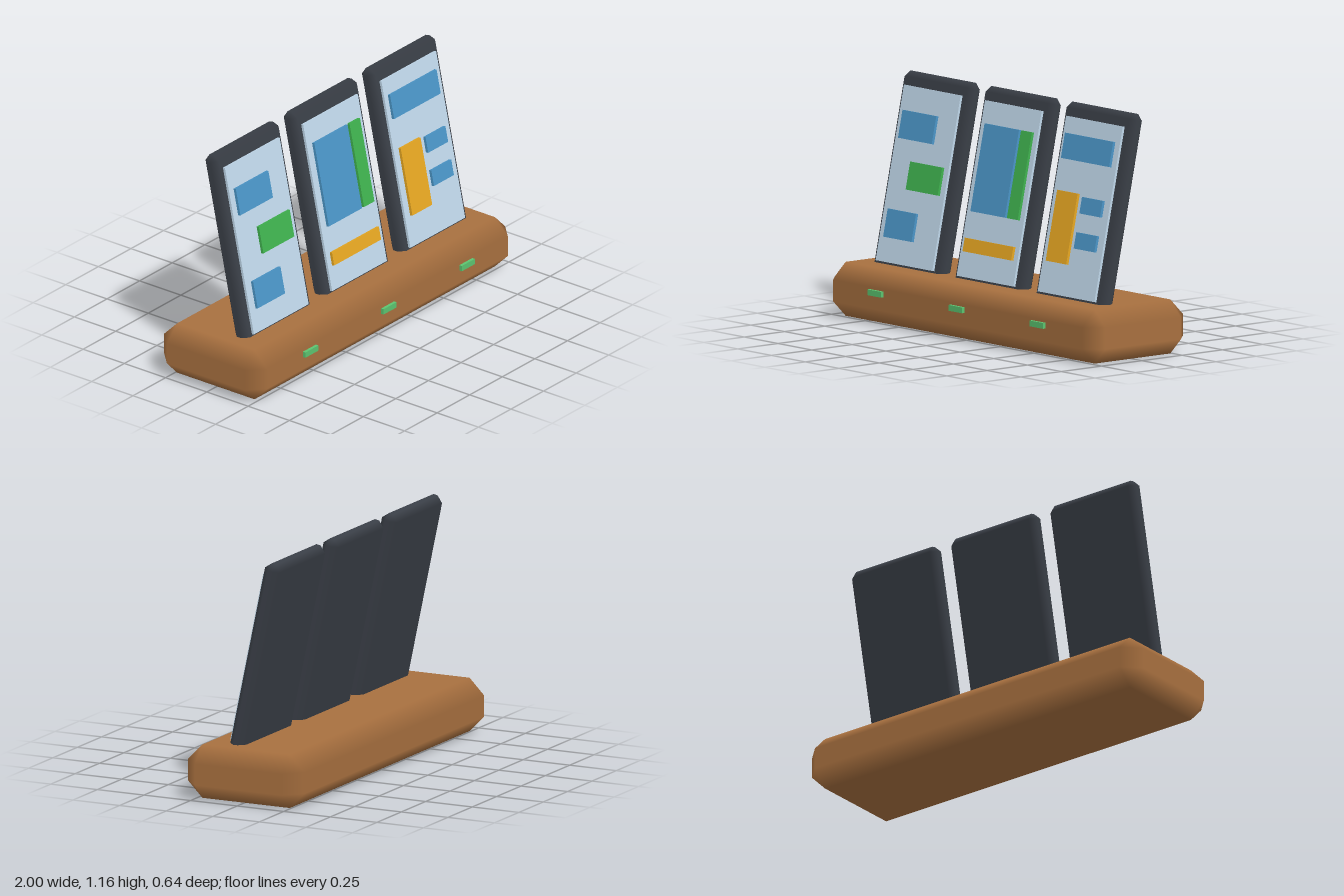
import * as THREE from 'three';
import { ConvexGeometry } from 'three/addons/geometries/ConvexGeometry.js';

const mat = (color) => new THREE.MeshStandardMaterial({ color });
const WOOD = mat(0xa8703f), FRAME = mat(0x3a3f47), SCREEN = mat(0xc0d8eb);
const BLUE = mat(0x4b96c8), GREEN = mat(0x3fb34f), ORANGE = mat(0xe8a822), LAMP = mat(0x5cc470);

// Box with 45 degree bevels whose shading blends between the flat faces
function beveledBox(w, h, d, r) {
  const half = [w / 2, h / 2, d / 2];
  const points = [];
  for (const sx of [-1, 1]) for (const sy of [-1, 1]) for (const sz of [-1, 1]) {
    const sign = [sx, sy, sz];
    for (let axis = 0; axis < 3; axis++) {
      points.push(new THREE.Vector3(...half.map((v, i) => sign[i] * (i === axis ? v : v - r))));
    }
  }
  const geo = new ConvexGeometry(points);
  const pos = geo.attributes.position, normal = geo.attributes.normal;
  for (let i = 0; i < pos.count; i++) {
    const p = [pos.getX(i), pos.getY(i), pos.getZ(i)];
    const reach = p.map((v, k) => Math.abs(v) - half[k]);
    const axis = reach.indexOf(Math.max(...reach));
    normal.setXYZ(i, ...p.map((v, k) => (k === axis ? Math.sign(v) : 0)));
  }
  return geo;
}

function add(parent, name, geometry, material, x, y, z) {
  const mesh = new THREE.Mesh(geometry, material);
  mesh.name = name;
  mesh.position.set(x, y, z);
  parent.add(mesh);
  return mesh;
}

const TILT = THREE.MathUtils.degToRad(12);
const CENTER_Y = 0.668;

// Cards on each screen: colour, x range from the panel centre, height range
const PANELS = [
  { name: 'leftmost', x: -0.6, cards: [
    [BLUE, -0.175, 0.075, 0.855, 0.987],
    [GREEN, -0.06, 0.177, 0.625, 0.757],
    [BLUE, -0.167, 0.043, 0.39, 0.523]] },
  { name: 'middle', x: 0, cards: [
    [BLUE, -0.17, 0.085, 0.583, 0.997],
    [GREEN, 0.1, 0.18, 0.583, 0.997],
    [ORANGE, -0.18, 0.18, 0.393, 0.457]] },
  { name: 'rightmost', x: 0.6, cards: [
    [BLUE, -0.182, 0.175, 0.906, 1.025],
    [ORANGE, -0.172, -0.02, 0.423, 0.757],
    [BLUE, 0.015, 0.168, 0.668, 0.746],
    [BLUE, 0.015, 0.168, 0.503, 0.58]] },
];

export function createModel() {
  const model = new THREE.Group();
  model.name = 'displayStand';

  // Wooden base
  add(model, 'base', beveledBox(2, 0.26, 0.625, 0.078), WOOD, 0, 0.13, -0.0075);

  for (const { name, x, cards } of PANELS) {
    // Panel leaning back, its foot sunk into the base
    const panel = new THREE.Group();
    panel.name = name + 'Panel';
    panel.position.set(x, CENTER_Y, -0.004);
    panel.rotation.x = -TILT;
    model.add(panel);
    add(panel, 'frame', beveledBox(0.52, 1, 0.083, 0.03), FRAME, 0, 0, 0);
    add(panel, 'screen', new THREE.BoxGeometry(0.42, 0.846, 0.024), SCREEN, 0, 0.007, 0.042);

    // Raised cards, heights converted to distances along the lean
    const along = (y) => (y - CENTER_Y - 0.068 * Math.sin(TILT)) / Math.cos(TILT);
    for (const [material, x0, x1, y0, y1] of cards) {
      const bottom = along(y0), top = along(y1);
      add(panel, 'card', new THREE.BoxGeometry(x1 - x0, top - bottom, 0.018), material,
        (x0 + x1) / 2, (bottom + top) / 2, 0.059);
    }

    // Indicator lamp on the front of the base
    add(model, name + 'Lamp', new THREE.BoxGeometry(0.1, 0.028, 0.03), LAMP, x, 0.157, 0.305);
  }
  return model;
}
